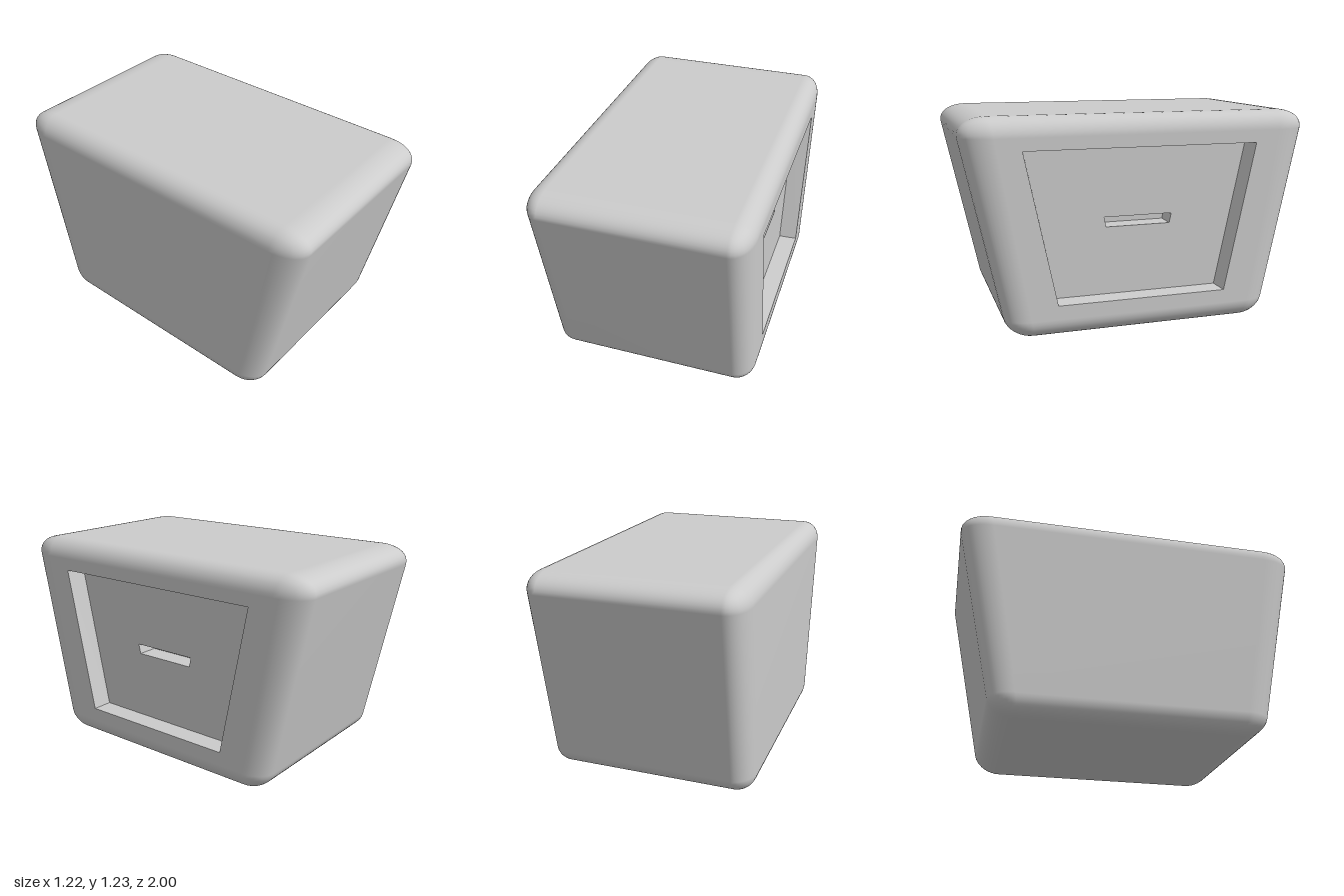
import * as THREE from 'three';
import { RoundedBoxGeometry } from 'three/addons/geometries/RoundedBoxGeometry.js';
import { mergeVertices } from 'three/addons/utils/BufferGeometryUtils.js';

const HALF_X = 0.61, HEIGHT = 1.23, RADIUS = 0.11;
const RECESS_X = 0.5, SLOT_X = 0.38;

// Half length of the body at height y: wider at the top
const taper = (y) => 1 + (y - 1.12) * 0.213;

// Trapezoid outline, counter-clockwise: bottom y, top y, half width at each
const trapezoid = (y0, y1, h0, h1) => [
  new THREE.Vector2(-h0, y0), new THREE.Vector2(h0, y0),
  new THREE.Vector2(h1, y1), new THREE.Vector2(-h1, y1),
];

// Flat panel facing +x, optionally with an opening
function panel(outline, x, opening) {
  const shape = new THREE.Shape(outline);
  if (opening) shape.holes.push(new THREE.Path(opening));
  return new THREE.ShapeGeometry(shape).rotateY(Math.PI / 2).translate(x, 0, 0);
}

// Inward-facing walls that join an outer outline to a deeper one
function walls(outer, xOuter, inner, xInner) {
  const pos = [];
  const put = (p, x) => pos.push(x, p.y, -p.x);
  outer.forEach((a, i) => {
    const j = (i + 1) % outer.length;
    put(a, xOuter); put(outer[j], xOuter); put(inner[j], xInner);
    put(a, xOuter); put(inner[j], xInner); put(inner[i], xInner);
  });
  const geo = new THREE.BufferGeometry();
  geo.setAttribute('position', new THREE.Float32BufferAttribute(pos, 3));
  geo.computeVertexNormals();
  return geo;
}

// Rounded box stretched and tapered in z, left open on the flat of its +x side
function bodyShell() {
  let geo = new RoundedBoxGeometry(HALF_X * 2, HEIGHT, HALF_X * 2, 5, RADIUS);
  geo.translate(0, HEIGHT / 2, 0);
  geo.deleteAttribute('normal');
  geo.deleteAttribute('uv');
  geo.clearGroups();
  const p = geo.attributes.position;
  for (let i = 0; i < p.count; i++) {
    p.setZ(i, (p.getZ(i) / HALF_X) * taper(p.getY(i)));
  }
  geo = mergeVertices(geo, 1e-4);
  geo.computeVertexNormals();
  const index = geo.index.array, kept = [];
  for (let i = 0; i < index.length; i += 3) {
    const tri = [index[i], index[i + 1], index[i + 2]];
    const onFlat = tri.every((v) => geo.attributes.position.getX(v) > HALF_X - 1e-4);
    if (!onFlat) kept.push(...tri);
  }
  geo.setIndex(kept);
  return geo;
}

export function createModel() {
  const group = new THREE.Group();
  const material = new THREE.MeshStandardMaterial({ color: 0xcccccc });
  const add = (name, geometry) => {
    const mesh = new THREE.Mesh(geometry, material);
    mesh.name = name;
    group.add(mesh);
  };

  // Outlines on the +x side, from the outside in
  const flat = (HALF_X - RADIUS) / HALF_X;
  const yLow = RADIUS, yHigh = HEIGHT - RADIUS;
  const side = trapezoid(yLow, yHigh, flat * taper(yLow), flat * taper(yHigh));
  const mouth = trapezoid(0.19, 1.05, 0.495, 0.675);
  const recess = trapezoid(0.197, 1.04, 0.48, 0.655);
  const slot = trapezoid(0.59, 0.647, 0.19, 0.202);

  add('body', bodyShell());
  add('sideFrame', panel(side, HALF_X, mouth));

  // Recessed panel
  add('recessWalls', walls(mouth, HALF_X, recess, RECESS_X));
  add('recessPanel', panel(recess, RECESS_X, slot));

  // Narrow slot in the middle of the panel
  add('slotWalls', walls(slot, RECESS_X, slot, SLOT_X));
  add('slotBack', panel(slot, SLOT_X));

  return group;
}
